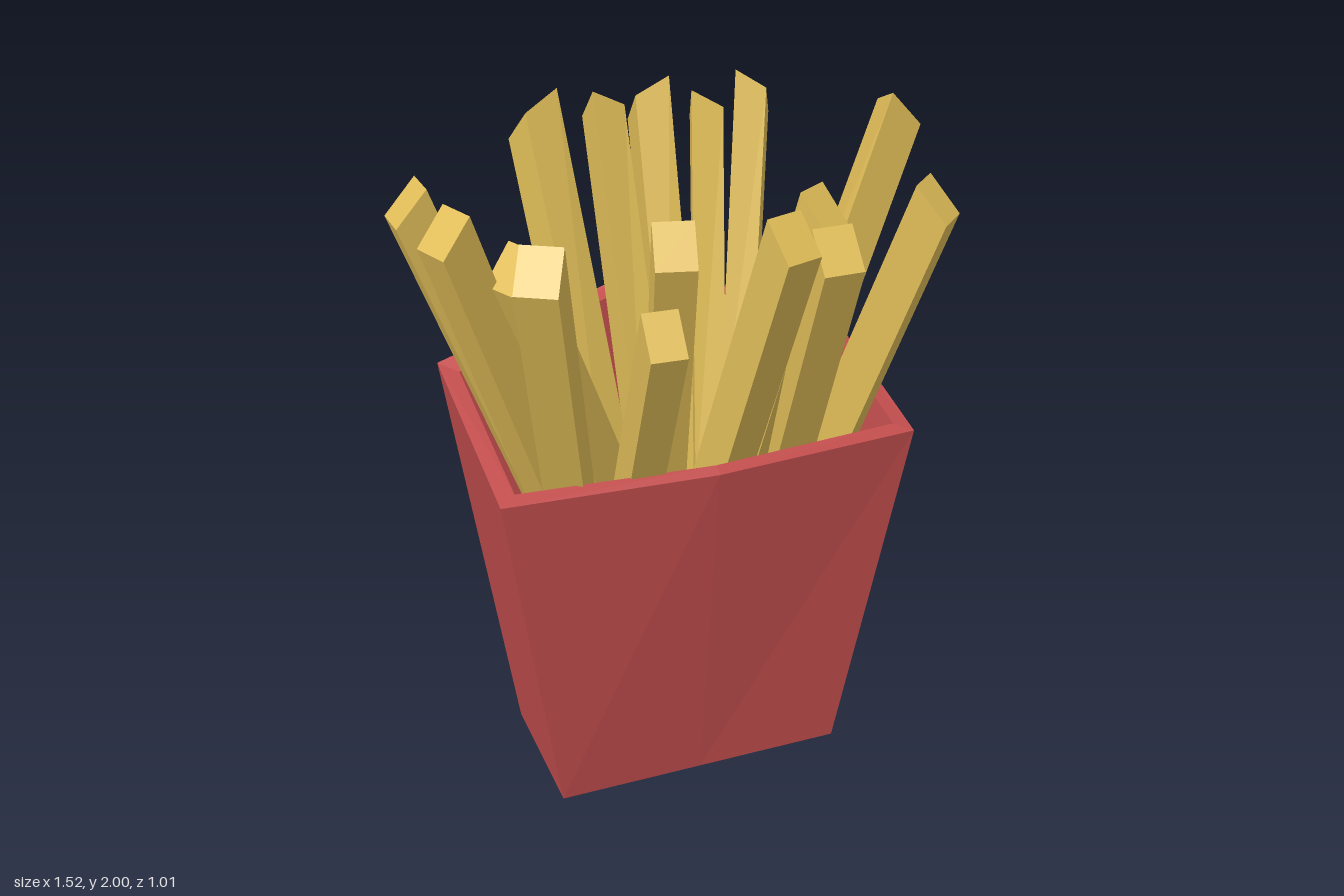
import * as THREE from 'three';

const red = new THREE.MeshStandardMaterial({ color: 0xc24d4d });
red.name = 'cartonRed';
const gold = new THREE.MeshStandardMaterial({ color: 0xe0bd58 });
gold.name = 'fryGold';

// Six-point loop: two corners and a middle point on the front and on the back
const ring = (x, front, frontMid, back, backMid) => [
  [x, front[1], front[0]], [x, back[1], back[0]], [0, backMid[1], backMid[0]],
  [-x, back[1], back[0]], [-x, front[1], front[0]], [0, frontMid[1], frontMid[0]],
];

// Open carton: outer wall, rim, inner wall, with a floor and an underside
function cartonGeometry() {
  const rings = [
    ring(0.445, [0.205, 0], [0.205, 0], [-0.24, 0], [-0.24, 0]),
    ring(0.615, [0.295, 1.11], [0.335, 1.11], [-0.345, 1.245], [-0.4, 1.41]),
    ring(0.565, [0.26, 1.125], [0.305, 1.125], [-0.285, 1.235], [-0.345, 1.4]),
    ring(0.38, [0.14, 0.05], [0.14, 0.05], [-0.22, 0.05], [-0.22, 0.05]),
  ];
  const pos = [];
  const tri = (...p) => p.forEach((q) => pos.push(...q));
  for (let r = 0; r < 3; r++) {
    const a = rings[r], b = rings[r + 1];
    for (let i = 0; i < 6; i++) {
      const j = (i + 1) % 6;
      tri(a[i], a[j], b[j]);
      tri(a[i], b[j], b[i]);
    }
  }
  for (let i = 1; i < 5; i++) {
    tri(rings[3][0], rings[3][i], rings[3][i + 1]);
    tri(rings[0][0], rings[0][i + 1], rings[0][i]);
  }
  const g = new THREE.BufferGeometry();
  g.setAttribute('position', new THREE.Float32BufferAttribute(pos, 3));
  g.computeVertexNormals();
  return g;
}

// Leaning fry: a box sheared outwards, with an end cut that slopes down to the outside
function fryGeometry([nx, nz, tx, tz, top, width, tilt]) {
  const depth = 0.09, drop = 0.1, base = 0.9;
  const len = Math.hypot(tx - nx, tz - nz);
  const dx = (tx - nx) / len, dz = (tz - nz) / len;
  const g = new THREE.BoxGeometry(1, 1, 1).toNonIndexed();
  const p = g.attributes.position;
  for (let i = 0; i < p.count; i++) {
    const s = p.getX(i), v = p.getY(i) + 0.5, r = p.getZ(i) + 0.5;
    const out = v * (len - depth) + r * depth;
    p.setXYZ(i,
      nx + dx * out + dz * s * width,
      base + (top - base) * v - drop * r + tilt * s * v,
      nz + dz * out - dx * s * width);
  }
  g.computeVertexNormals();
  return g;
}

// Each fry: inner base x, z, outer tip x, z, top height, width, sideways tilt of the cut
const fries = [
  [-0.31, -0.17, -0.76, -0.145, 1.88, 0.11, 0],
  [-0.3, -0.06, -0.715, 0.105, 1.88, 0.115, 0],
  [-0.14, -0.07, -0.545, 0.125, 1.76, 0.11, 0],
  [-0.33, 0.08, -0.54, 0.45, 1.88, 0.115, 0],
  [-0.18, 0.06, -0.207, 0.495, 1.67, 0.1, 0],
  [-0.05, 0, -0.162, 0.425, 1.88, 0.11, 0],
  [0.045, 0.07, 0.165, 0.483, 1.88, 0.11, 0],
  [0.285, 0.02, 0.285, 0.47, 1.82, 0.115, 0],
  [0.145, 0.01, 0.33, 0.325, 1.88, 0.1, 0],
  [0.36, 0.05, 0.647, 0.367, 1.88, 0.105, 0],
  [0.31, -0.12, 0.755, -0.093, 1.975, 0.105, -0.05],
  [0.21, -0.08, 0.413, -0.452, 1.975, 0.09, 0.05],
  [0.08, 0.07, 0.215, -0.338, 1.975, 0.09, 0.05],
  [0.055, -0.06, 0.088, -0.505, 1.975, 0.1, -0.05],
  [-0.055, 0, -0.075, -0.445, 1.975, 0.095, 0.05],
  [-0.15, -0.09, -0.283, -0.488, 1.975, 0.11, -0.05],
];

export function createModel() {
  const model = new THREE.Group();
  model.name = 'cartonOfFries';

  const carton = new THREE.Mesh(cartonGeometry(), red);
  carton.name = 'carton';
  model.add(carton);

  const bunch = new THREE.Group();
  bunch.name = 'fries';
  fries.forEach((f, i) => {
    const fry = new THREE.Mesh(fryGeometry(f), gold);
    fry.name = `fry${i + 1}`;
    bunch.add(fry);
  });
  model.add(bunch);
  return model;
}
